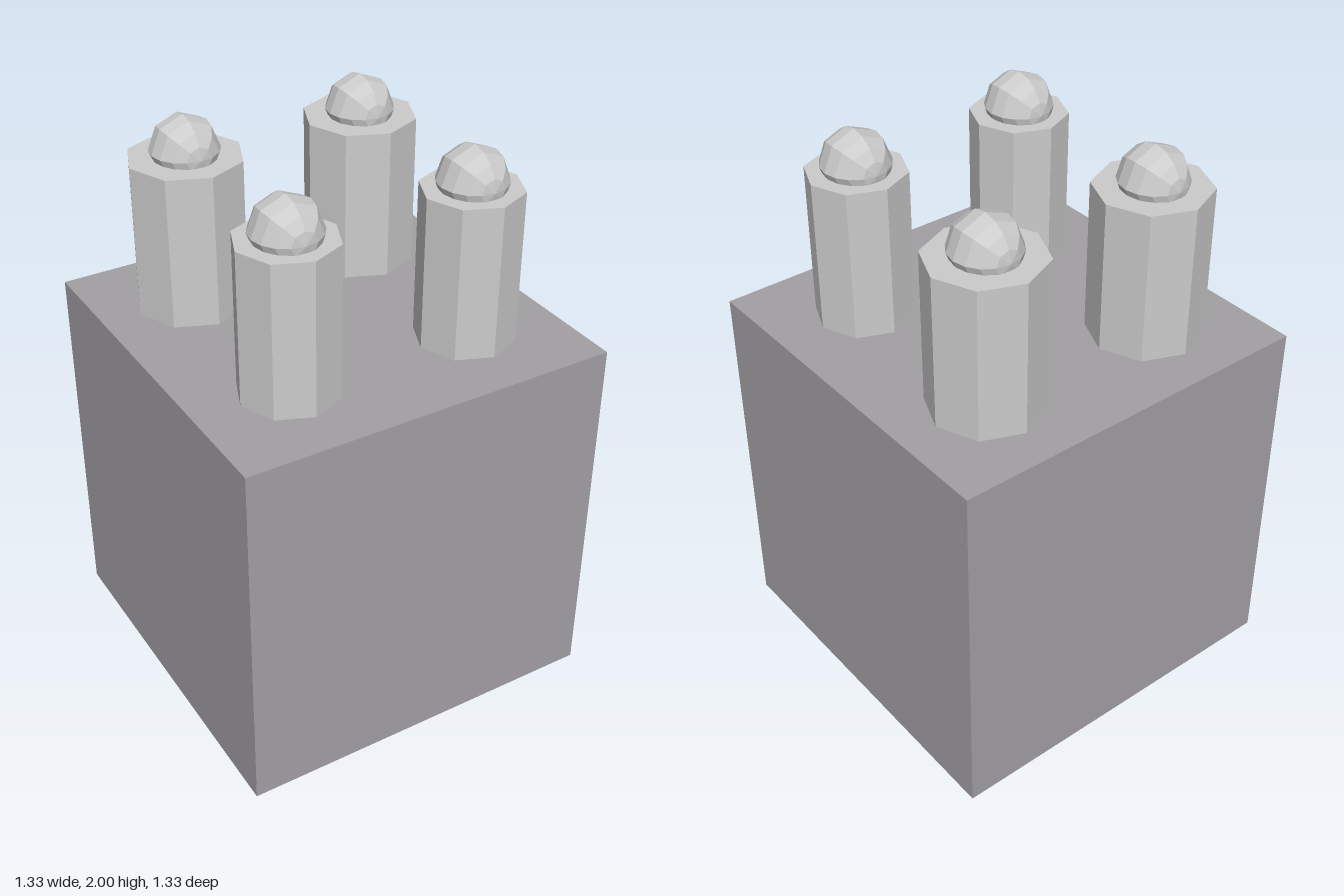
import * as THREE from 'three';

export function createModel() {
  const model = new THREE.Group();
  const bodyMat = new THREE.MeshStandardMaterial({ color: 0xa3a0a5, flatShading: true });
  const postMat = new THREE.MeshStandardMaterial({ color: 0xcccccc, flatShading: true });

  const size = 1.325, postHeight = 0.533, spread = 0.331, knobRadius = 0.118;
  const postTop = size + postHeight;

  const add = (name, geometry, material, x, y, z) => {
    const mesh = new THREE.Mesh(geometry, material);
    mesh.name = name;
    mesh.position.set(x, y, z);
    model.add(mesh);
  };

  // Cube body
  add('body', new THREE.BoxGeometry(size, size, size), bodyMat, 0, size / 2, 0);

  // Faceted knob with its poles along z
  const knob = new THREE.SphereGeometry(knobRadius, 8, 8).rotateX(Math.PI / 2);

  // Octagonal posts: the back pair is thicker than the front pair
  for (const [end, z, radius] of [['front', spread, 0.17], ['back', -spread, 0.197]]) {
    const post = new THREE.CylinderGeometry(radius, radius, postHeight, 8);
    for (const [side, x] of [['Left', spread], ['Right', -spread]]) {
      add(`${end}${side}Post`, post, postMat, x, size + postHeight / 2, z);
      add(`${end}${side}Knob`, knob, postMat, x, 2 - knobRadius, z);
    }
  }
  return model;
}
